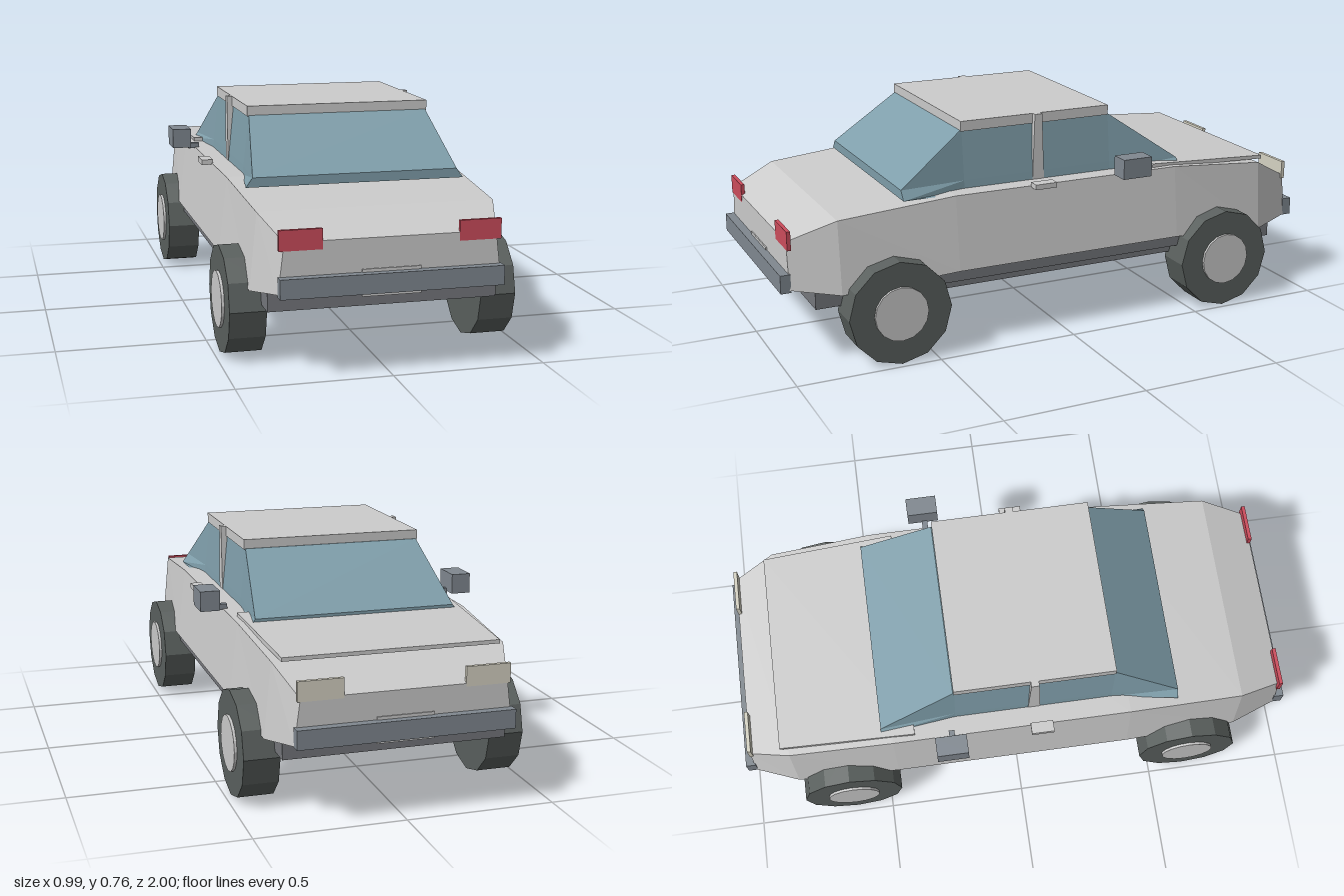
import * as THREE from 'three';

const mat = (color, side = THREE.FrontSide) =>
  new THREE.MeshStandardMaterial({ color, flatShading: true, side });

// Closed flat-shaded skin through a list of equal-length rings of points
function loft(rings) {
  const pos = [];
  const tri = (a, b, c) => pos.push(...a, ...b, ...c);
  const n = rings[0].length;
  for (let s = 0; s < rings.length - 1; s++) {
    for (let i = 0; i < n; i++) {
      const j = (i + 1) % n, a = rings[s], b = rings[s + 1];
      tri(a[i], a[j], b[j]);
      tri(a[i], b[j], b[i]);
    }
  }
  const first = rings[0], last = rings[rings.length - 1];
  for (let i = 1; i < n - 1; i++) {
    tri(first[0], first[i + 1], first[i]);
    tri(last[0], last[i], last[i + 1]);
  }
  const g = new THREE.BufferGeometry();
  g.setAttribute('position', new THREE.Float32BufferAttribute(pos, 3));
  g.computeVertexNormals();
  return g;
}

// Four-cornered cross-section, symmetric in x
const section = (z, topX, topY, lowX, lowY) =>
  [[lowX, lowY, z], [topX, topY, z], [-topX, topY, z], [-lowX, lowY, z]];

export function createModel() {
  const car = new THREE.Group();
  car.name = 'car';
  const paint = mat(0xcccccc), glass = mat(0x7f9eaa, THREE.DoubleSide);
  const trim = mat(0x808890), under = mat(0x75777c), rubber = mat(0x5a605e);
  const red = mat(0xcc4c5c), cream = mat(0xd6d3c4), hubMat = mat(0xe2e3e5);

  const add = (name, geometry, material) => {
    const m = new THREE.Mesh(geometry, material);
    m.name = name;
    car.add(m);
    return m;
  };
  // Box given by its limits on each axis
  const box = (name, [x0, x1], [y0, y1], [z0, z1], material) => {
    const m = add(name, new THREE.BoxGeometry(x1 - x0, y1 - y0, z1 - z0), material);
    m.position.set((x0 + x1) / 2, (y0 + y1) / 2, (z0 + z1) / 2);
    return m;
  };

  // Body shell, lofted along z
  add('body', loft([
    section(-0.97, 0.34, 0.42, 0.36, 0.27),
    section(-0.82, 0.39, 0.5, 0.415, 0.25),
    section(-0.45, 0.405, 0.533, 0.435, 0.277),
    section(0.4, 0.405, 0.535, 0.435, 0.277),
    section(0.81, 0.39, 0.5, 0.415, 0.25),
    section(0.97, 0.34, 0.437, 0.36, 0.275),
  ]), paint);

  // Raised bonnet panel
  add('bonnet', loft([
    section(-0.85, 0.365, 0.518, 0.365, 0.505),
    section(-0.37, 0.385, 0.547, 0.385, 0.53),
  ]), paint);

  // Underside and sills
  box('chassis', [-0.375, 0.375], [0.2, 0.265], [-0.89, 0.89], under);
  box('sill', [-0.415, 0.415], [0.235, 0.285], [-0.77, 0.77], under);

  // Glasshouse, lofted upwards; corners flare out at both windscreens
  const glassRing = (y, corners) => {
    const left = corners.map(([x, z, dy = 0]) => [x, y + dy, z]);
    return [...left, ...left.map(([x, h, z]) => [-x, h, z]).reverse()];
  };
  add('windows', loft([
    glassRing(0.53, [[0.375, 0.575], [0.337, 0.34], [0.337, -0.22], [0.367, -0.487]]),
    glassRing(0.562, [[0.352, 0.575], [0.334, 0.34], [0.334, -0.22], [0.352, -0.487, -0.012]]),
    glassRing(0.733, [[0.315, 0.345], [0.315, 0.34], [0.315, -0.215], [0.315, -0.22]]),
  ]), glass);

  // Roof slab
  box('roof', [-0.32, 0.32], [0.73, 0.765], [-0.218, 0.345], paint);

  for (const s of [-1, 1]) {
    const side = s > 0 ? 'left' : 'right';
    const span = (a, b) => (s > 0 ? [a, b] : [-b, -a]);

    // Door pillar, slightly wider at its foot
    const foot = (y, w) => [[0.305, y, 0.062 + w], [0.338, y, 0.062 + w],
      [0.338, y, 0.062 - w], [0.305, y, 0.062 - w]].map(([x, h, z]) => [x - 0.3215 + s * 0.3215, h, z]);
    add(side + 'Pillar', loft([foot(0.53, 0.022), foot(0.765, 0.014)]), paint);

    box(side + 'DoorHandle', span(0.4, 0.44), [0.528, 0.546], [0.04, 0.12], paint);
    box(side + 'Mirror', span(0.427, 0.495), [0.54, 0.61], [-0.3, -0.19], trim);
    box(side + 'MirrorArm', span(0.39, 0.43), [0.53, 0.55], [-0.25, -0.23], trim);
    box(side + 'TailLamp', span(0.22, 0.357), [0.41, 0.475], [0.958, 0.971], red);
    box(side + 'Headlamp', span(0.2, 0.35), [0.41, 0.475], [-0.971, -0.958], cream);

    // Wheels: twelve-sided tyre with a pale hub
    for (const z of [-0.63, 0.63]) {
      const name = side + (z > 0 ? 'Rear' : 'Front');
      const tyre = add(name + 'Tyre', new THREE.CylinderGeometry(0.18, 0.18, 0.12, 12), rubber);
      const hub = add(name + 'Hub', new THREE.CylinderGeometry(0.094, 0.094, 0.12, 16), hubMat);
      tyre.position.set(s * 0.418, 0.18, z);
      hub.position.set(s * 0.427, 0.18, z);
      tyre.rotation.z = hub.rotation.z = Math.PI / 2;
    }
  }

  // Bumpers and number plates at both ends
  for (const s of [-1, 1]) {
    const end = s > 0 ? 'rear' : 'front';
    const span = (a, b) => (s > 0 ? [a, b] : [-b, -a]);
    box(end + 'Bumper', [-0.36, 0.36], [0.267, 0.33], span(0.965, 1), trim);
    box(end + 'Plate', [-0.095, 0.095], [0.253, 0.34], span(0.964, 0.974), hubMat);
  }
  return car;
}
